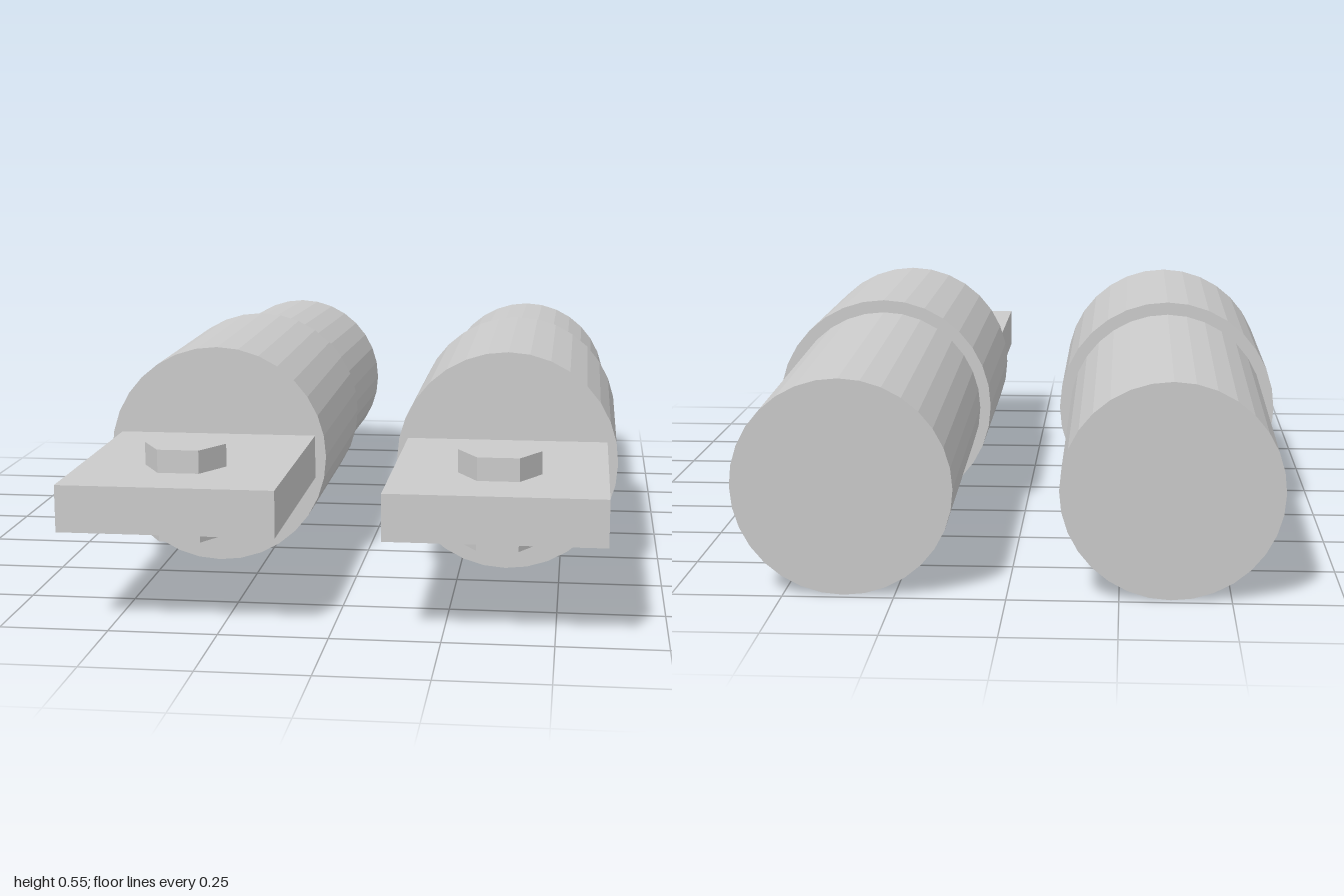
import * as THREE from 'three';

const material = new THREE.MeshStandardMaterial({ color: 0xcccccc, flatShading: true });

function addPart(parent, name, geometry, x, y, z) {
  const mesh = new THREE.Mesh(geometry, material);
  mesh.name = name;
  mesh.position.set(x, y, z);
  parent.add(mesh);
  return mesh;
}

// One clamped pipe: tongue plate with bolt, straight sleeve, slightly drooping pipe
function createPipeUnit(name) {
  const unit = new THREE.Group();
  unit.name = name;
  const axisY = 0.279;

  // Sleeve along z
  const sleeve = new THREE.CylinderGeometry(0.275, 0.275, 0.64, 32).rotateX(Math.PI / 2);
  addPart(unit, 'sleeve', sleeve, 0, axisY, 0.075);

  // Rear pipe, tilted down towards the back, slightly sunk into the sleeve
  const start = new THREE.Vector3(0, 0.276, -0.2);
  const end = new THREE.Vector3(0, 0.248, -0.991);
  const axis = start.clone().sub(end);
  const pipe = addPart(unit, 'rearPipe',
    new THREE.CylinderGeometry(0.248, 0.248, axis.length(), 32), 0, 0, 0);
  pipe.position.copy(start).add(end).multiplyScalar(0.5);
  pipe.quaternion.setFromUnitVectors(new THREE.Vector3(0, 1, 0), axis.normalize());

  // Flat tongue plate at the front
  addPart(unit, 'tonguePlate', new THREE.BoxGeometry(0.495, 0.108, 0.61), 0, axisY, 0.695);

  // Hexagonal bolt through the plate, corners pointing sideways
  const bolt = new THREE.CylinderGeometry(0.096, 0.096, 0.216, 6).rotateY(Math.PI / 6);
  addPart(unit, 'hexBolt', bolt, 0, axisY, 0.77);

  return unit;
}

export function createModel() {
  const model = new THREE.Group();
  model.name = 'pipePair';
  for (const [name, side] of [['leftPipe', 1], ['rightPipe', -1]]) {
    const unit = createPipeUnit(name);
    unit.position.x = side * 0.365;
    model.add(unit);
  }
  return model;
}
